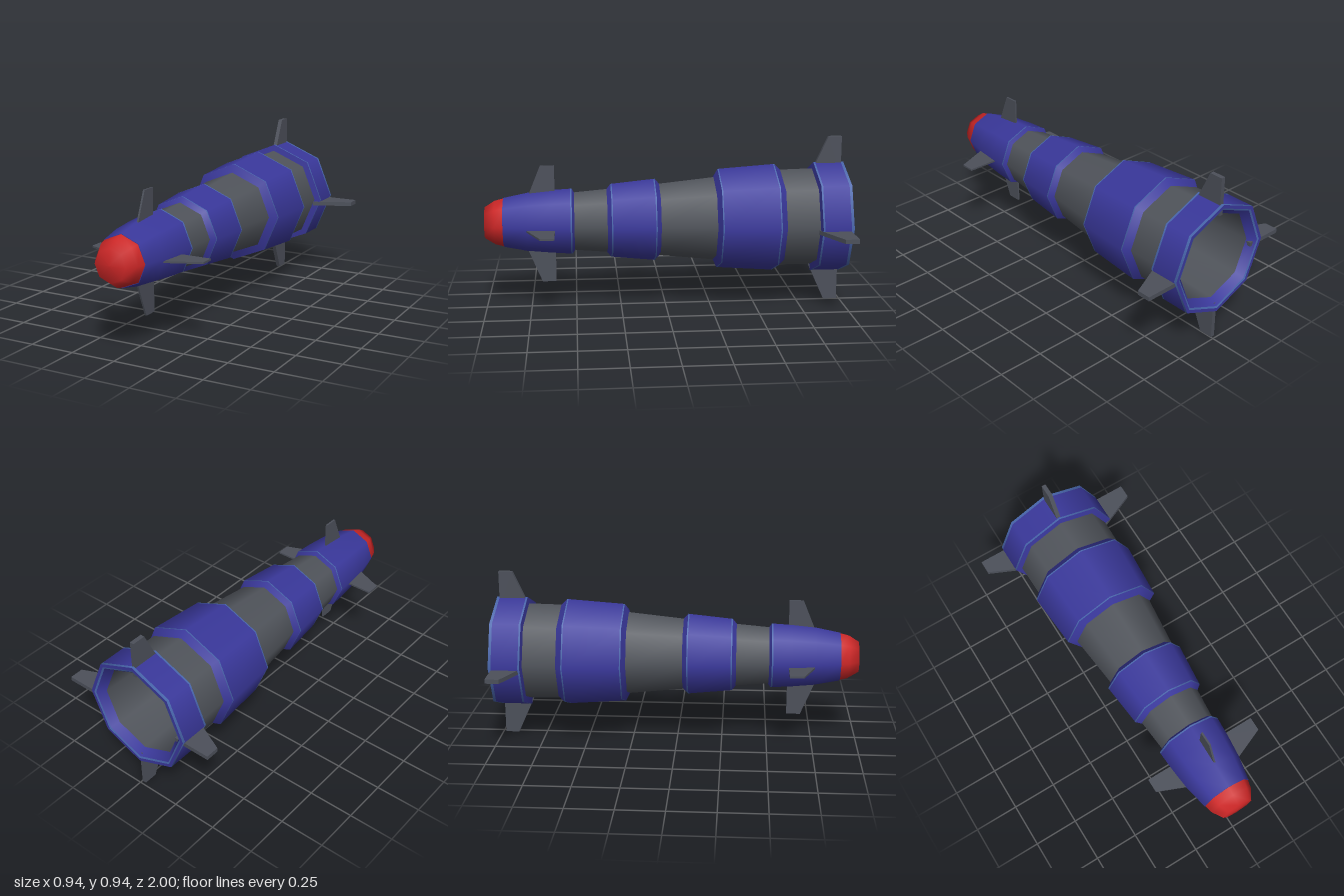
import * as THREE from 'three';

const mat = (name, color) => {
  const m = new THREE.MeshStandardMaterial({ color });
  m.name = name;
  return m;
};

export function createModel() {
  const blue = mat('deep blue', 0x3a389c);
  const lightBlue = mat('light blue', 0x4866ac);
  const grey = mat('hull grey', 0x50545b);
  const finGrey = mat('fin grey', 0x4c505a);
  const red = mat('nose red', 0xcc2626);

  const rocket = new THREE.Group();
  rocket.name = 'rocket';

  // Eight-sided body turned about the z axis; profile points are [radius, z]
  const body = new THREE.Group();
  body.name = 'body';
  body.position.set(-0.013, 0.482, 0);
  rocket.add(body);

  const turned = (name, material, profile, parent = body) => {
    const geo = new THREE.LatheGeometry(profile.map(([r, z]) => new THREE.Vector2(r, z)), 8);
    geo.rotateX(Math.PI / 2);
    const mesh = new THREE.Mesh(geo, material);
    mesh.name = name;
    parent.add(mesh);
  };

  // Point on the line from a to b, at a distance d from a
  const along = (a, b, d) => {
    const t = d / Math.hypot(b[0] - a[0], b[1] - a[1]);
    return [a[0] + (b[0] - a[0]) * t, a[1] + (b[1] - a[1]) * t];
  };

  // Grey hull sections, from tail to nose
  turned('rearHull', grey, [[0.278, -0.83], [0.273, -0.63]]);
  turned('middleHull', grey, [[0.238, -0.28], [0.204, 0.04]]);
  turned('frontHull', grey, [[0.181, 0.31], [0.163, 0.515]]);

  // Raised bands: sloped shoulders at both ends, pale worn lines along the edges
  const band = (name, inRear, rear, front, inFront) => {
    const group = new THREE.Group();
    group.name = name;
    body.add(group);
    const rearEdge = along(rear, front, 0.007);
    const frontEdge = along(front, rear, 0.007);
    turned('rearShoulder', blue, [inRear, rear], group);
    turned('rearEdgeLine', lightBlue, [rear, rearEdge], group);
    turned('bandWall', blue, [rearEdge, frontEdge], group);
    turned('frontEdgeLine', lightBlue, [frontEdge, front], group);
    turned('frontShoulder', blue, [front, inFront], group);
  };
  band('largeBand', [0.272, -0.645], [0.306, -0.61], [0.283, -0.292], [0.237, -0.27]);
  band('middleBand', [0.204, 0.033], [0.233, 0.058], [0.208, 0.303], [0.18, 0.325]);

  // Front section and nose
  turned('frontSectionShoulder', blue, [[0.162, 0.503], [0.186, 0.517]]);
  turned('frontSectionEdgeLine', lightBlue, [[0.186, 0.517], [0.185, 0.525]]);
  turned('frontSection', blue, [[0.185, 0.525], [0.179, 0.63], [0.166, 0.76], [0.139, 0.893]]);
  turned('frontLip', blue, [[0.139, 0.893], [0.125, 0.894]]);
  turned('noseCone', red, [[0.137, 0.89], [0.124, 0.94], [0.089, 0.995], [0, 1]]);

  // Tail ring with bevelled rim and a deep hollow
  turned('tailHollow', grey, [[0, 0.45], [0.15, 0.42], [0.225, -0.27], [0.25, -0.955]]);
  turned('tailInnerBevel', blue, [[0.25, -0.955], [0.285, -0.996]]);
  turned('tailRimLine', lightBlue, [[0.285, -0.996], [0.295, -1]]);
  turned('tailRim', blue, [[0.295, -1], [0.314, -1]]);
  turned('tailRearLine', lightBlue, [[0.314, -1], [0.314, -0.985]]);
  turned('tailRing', blue, [[0.314, -0.985], [0.314, -0.84]]);
  turned('tailFrontLine', lightBlue, [[0.314, -0.84], [0.314, -0.83]]);
  turned('tailFrontFace', blue, [[0.314, -0.83], [0.27, -0.822]]);

  // Swept fins; outline is in (distance from axis, z)
  const finSet = (name, centre, thick, root, tip, zRear, zTip, zRoot) => {
    const shape = new THREE.Shape([
      [root, zRear], [tip, zRear], [tip, zTip], [root, zRoot],
    ].map(([d, z]) => new THREE.Vector2(d, z)));
    const geo = new THREE.ExtrudeGeometry(shape, { depth: thick, bevelEnabled: false });
    geo.translate(0, 0, -thick / 2);
    geo.rotateX(Math.PI / 2);
    const sides = ['left', 'top', 'right', 'bottom'];
    sides.forEach((side, i) => {
      const fin = new THREE.Mesh(geo, finGrey);
      fin.name = `${name}_${side}`;
      fin.rotation.z = i * Math.PI / 2;
      if (i % 2) fin.position.set(centre[0], 0.47, 0);
      else fin.position.set(0, centre[1], 0);
      rocket.add(fin);
    });
  };
  finSet('tailFin', [-0.013, 0.458], 0.023, 0.26, 0.47, -0.985, -0.91, -0.815);
  finSet('noseFin', [-0.009, 0.466], 0.01, 0.14, 0.329, 0.61, 0.687, 0.765);

  return rocket;
}
